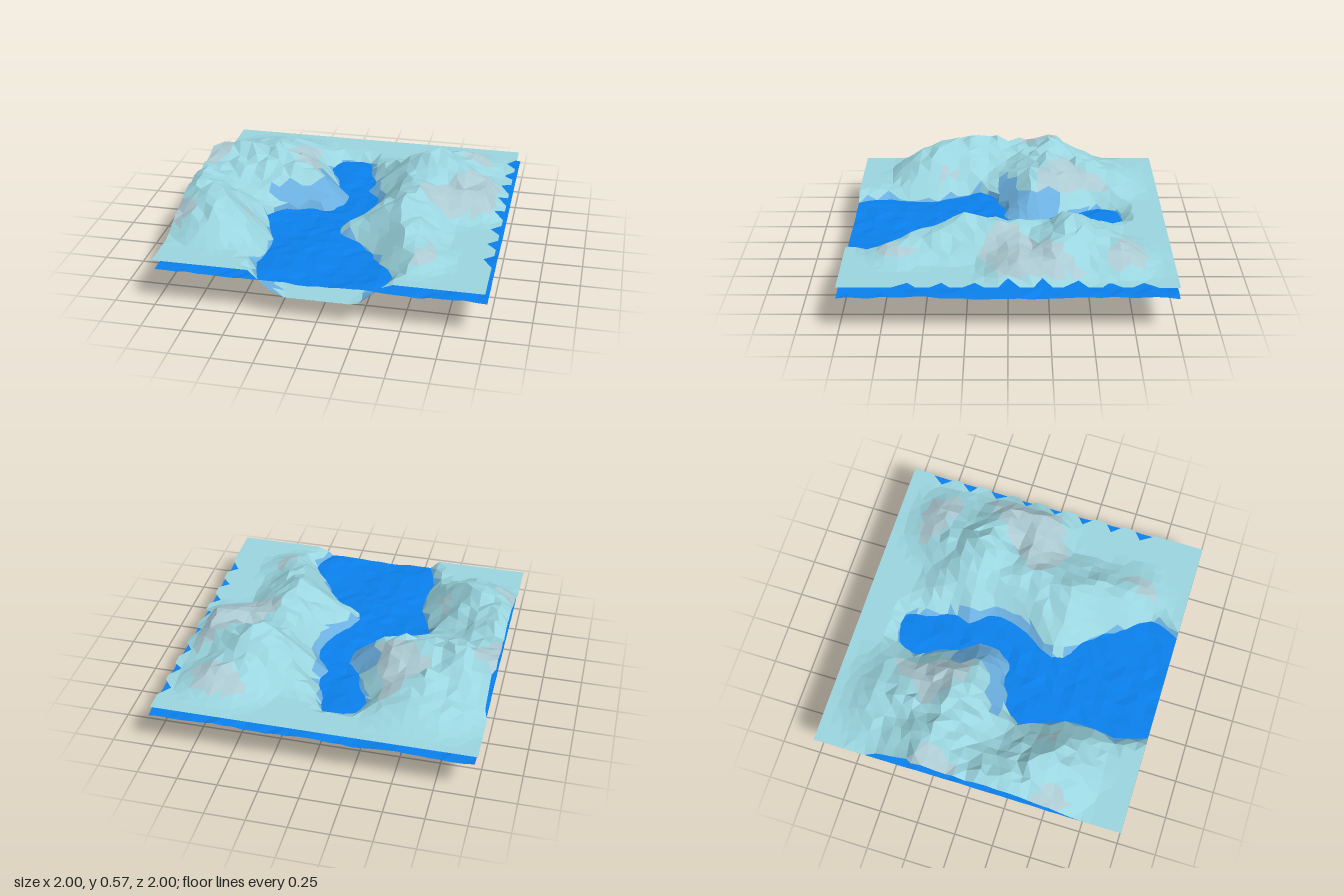
import * as THREE from 'three';

const WATER = 0.25, LAND = 0.31, N = 30;

// shoreline, as [z, left bank x, right bank x]
const SHORE = [
  [-0.74, -0.1, -0.02], [-0.7, -0.22, 0.01], [-0.57, -0.26, 0.03], [-0.45, -0.18, 0.1],
  [-0.32, -0.14, 0.06], [-0.2, -0.06, 0.15], [-0.08, -0.07, 0.14], [0, -0.13, 0.12],
  [0.06, -0.3, 0.1], [0.12, -0.44, 0.06], [0.22, -0.47, -0.01], [0.3, -0.48, -0.02],
  [0.36, -0.44, 0.02], [0.4, -0.42, 0.12], [0.5, -0.4, 0.23], [0.7, -0.4, 0.33],
  [0.8, -0.42, 0.42], [0.9, -0.38, 0.4], [1.0, -0.35, 0.35], [1.4, -0.35, 0.35],
];
const BANK = [...SHORE.map(([z, l]) => [l, z]), ...SHORE.map(([z, , r]) => [r, z]).reverse()];

// mountain ridges: x, z, rise at each end, then the reach of the slopes
const RIDGES = [
  [-1.0, -0.3, 0.19, -0.78, -0.27, 0.23, 0.34],
  [-0.78, -0.27, 0.23, -0.42, -0.22, 0.2, 0.42],
  [-0.95, -0.2, 0.16, -0.9, 0.25, 0.2, 0.34],
  [-0.9, 0.25, 0.2, -0.74, 0.45, 0.24, 0.36],
  [-0.6, -0.25, 0.2, -0.6, -0.6, 0.13, 0.4],
  [0.22, -0.33, 0.14, 0.48, -0.38, 0.27, 0.36],
  [0.48, -0.38, 0.27, 0.82, -0.25, 0.13, 0.28],
  [0.48, -0.38, 0.26, 0.62, -0.66, 0.13, 0.32],
  [0.3, -0.3, 0.15, 0.42, 0.0, 0.18, 0.36],
  [0.42, 0.0, 0.18, 0.38, 0.42, 0.21, 0.3],
  [0.38, 0.42, 0.2, 0.48, 0.65, 0.1, 0.28],
  [0.42, 0.0, 0.17, 0.84, -0.06, 0.13, 0.22],
  [0.84, -0.06, 0.13, 0.82, -0.25, 0.13, 0.22],
];

const clamp = THREE.MathUtils.clamp;

// repeatable noise from -1 to 1
function noise(i, j, k) {
  const s = Math.sin(i * 127.1 + j * 311.7 + k * 74.7) * 43758.5453;
  return 2 * (s - Math.floor(s)) - 1;
}

// distance to a segment, with the position along it
function toSegment(x, z, ax, az, bx, bz) {
  const dx = bx - ax, dz = bz - az;
  const t = clamp(((x - ax) * dx + (z - az) * dz) / (dx * dx + dz * dz), 0, 1);
  return [Math.hypot(x - ax - dx * t, z - az - dz * t), t];
}

// distance to the shore, negative within the river
function shoreDistance(x, z) {
  let best = 9, inside = false;
  BANK.forEach(([ax, az], i) => {
    const [bx, bz] = BANK[(i + 1) % BANK.length];
    best = Math.min(best, toSegment(x, z, ax, az, bx, bz)[0]);
    if ((az > z) !== (bz > z) && x < ax + ((z - az) / (bz - az)) * (bx - ax)) inside = !inside;
  });
  return inside ? -best : best;
}

function terrainHeight(x, z, rough) {
  const d = shoreDistance(x, z);
  if (d < 0) {
    const pit = 0.16 * clamp(1.2 * (1 - Math.hypot(x + 0.33, z - 0.2) / 0.24), 0, 1);
    return Math.max(0, WATER - Math.min(0.1, -d * 0.9) - pit);
  }
  let rise = 0;
  for (const [ax, az, ah, bx, bz, bh, reach] of RIDGES) {
    const [dist, t] = toSegment(x, z, ax, az, bx, bz);
    const slope = Math.max(0, 1 - dist / reach);
    rise = Math.max(rise, (ah + (bh - ah) * t) * Math.pow(slope, 0.9));
  }
  rise *= clamp((0.98 - Math.abs(z)) / 0.25, 0, 1) * clamp((0.97 - x) / 0.12, 0, 1);
  rise *= 1 + 0.14 * rough;
  return Math.min(LAND + rise, WATER + d * 1.05);
}

// grid of points, split into triangles and shared out by a sorting rule
function gridSheets(point, sort) {
  const sheets = {};
  const add = (...tri) => {
    const c = tri[0].clone().add(tri[1]).add(tri[2]).divideScalar(3);
    const list = (sheets[sort(c)] ??= []);
    tri.forEach((p) => list.push(p.x, p.y, p.z));
  };
  const pts = [];
  for (let j = 0; j <= N; j++) {
    pts.push([]);
    for (let i = 0; i <= N; i++) pts[j].push(point(i, j));
  }
  for (let j = 0; j < N; j++) {
    for (let i = 0; i < N; i++) {
      const a = pts[j][i], b = pts[j][i + 1], c = pts[j + 1][i + 1], d = pts[j + 1][i];
      // fold each cell along its shorter diagonal
      if (a.distanceTo(c) < b.distanceTo(d)) { add(a, d, c); add(a, c, b); }
      else { add(a, d, b); add(b, d, c); }
    }
  }
  return sheets;
}

function terrainPoint(i, j) {
  const inX = i > 0 && i < N, inZ = j > 0 && j < N;
  let x = -1 + (1.985 * i) / N + (inX ? 0.016 * noise(i, j, 1) : 0);
  const z = -1 + (2 * j) / N + (inZ ? 0.016 * noise(i, j, 2) : 0);
  // ragged right-hand edge, and a shallow notch in the left-hand one
  if (i === N && j > 2 && j < 25 && j % 3 === 0) x -= 0.06;
  if (i === 0 && j > 5 && j < 10) x += 0.022;
  return new THREE.Vector3(x, terrainHeight(x, z, noise(i, j, 3)), z);
}

function terrainKind(c) {
  const d = shoreDistance(c.x, c.z);
  const patch = Math.sin(c.x * 6 - 3.5) + Math.sin(c.z * 8 + c.x * 3);
  const underwater = c.y < 0.26 && c.y > 0.16;
  const westBank = c.x < 0 && c.z > -0.35 && c.z < 0.08 && d < 0.13;
  const eastBank = c.x > 0 && c.z > -0.4 && c.z < 0.25 && d < 0.05;
  if (underwater || westBank || eastBank) return 'blueIceBank';
  if (c.y > 0.35 && patch > 0.3) return 'greyIceSlope';
  return 'paleIceLand';
}

function waterPoint(i, j) {
  const x = -0.985 + (1.985 * i) / N, z = -1 + (2 * j) / N;
  const y = WATER - 0.001 + 0.006 * Math.sin(x * 11 + z * 5) + 0.006 * noise(i, j, 4);
  return new THREE.Vector3(x, y, z);
}

const COLORS = {
  paleIceLand: 0x9ad5df,
  greyIceSlope: 0xaccad2,
  blueIceBank: 0x6cb0e0,
  water: 0x0a80ec,
};

export function createModel() {
  const model = new THREE.Group();
  model.name = 'icyRiverValley';
  const sheets = {
    ...gridSheets(terrainPoint, terrainKind),
    ...gridSheets(waterPoint, () => 'water'),
  };
  for (const [name, positions] of Object.entries(sheets)) {
    const geometry = new THREE.BufferGeometry();
    geometry.setAttribute('position', new THREE.Float32BufferAttribute(positions, 3));
    geometry.computeVertexNormals();
    const material = new THREE.MeshStandardMaterial({
      color: COLORS[name], flatShading: true, side: THREE.DoubleSide,
    });
    const mesh = new THREE.Mesh(geometry, material);
    mesh.name = name;
    model.add(mesh);
  }
  return model;
}
